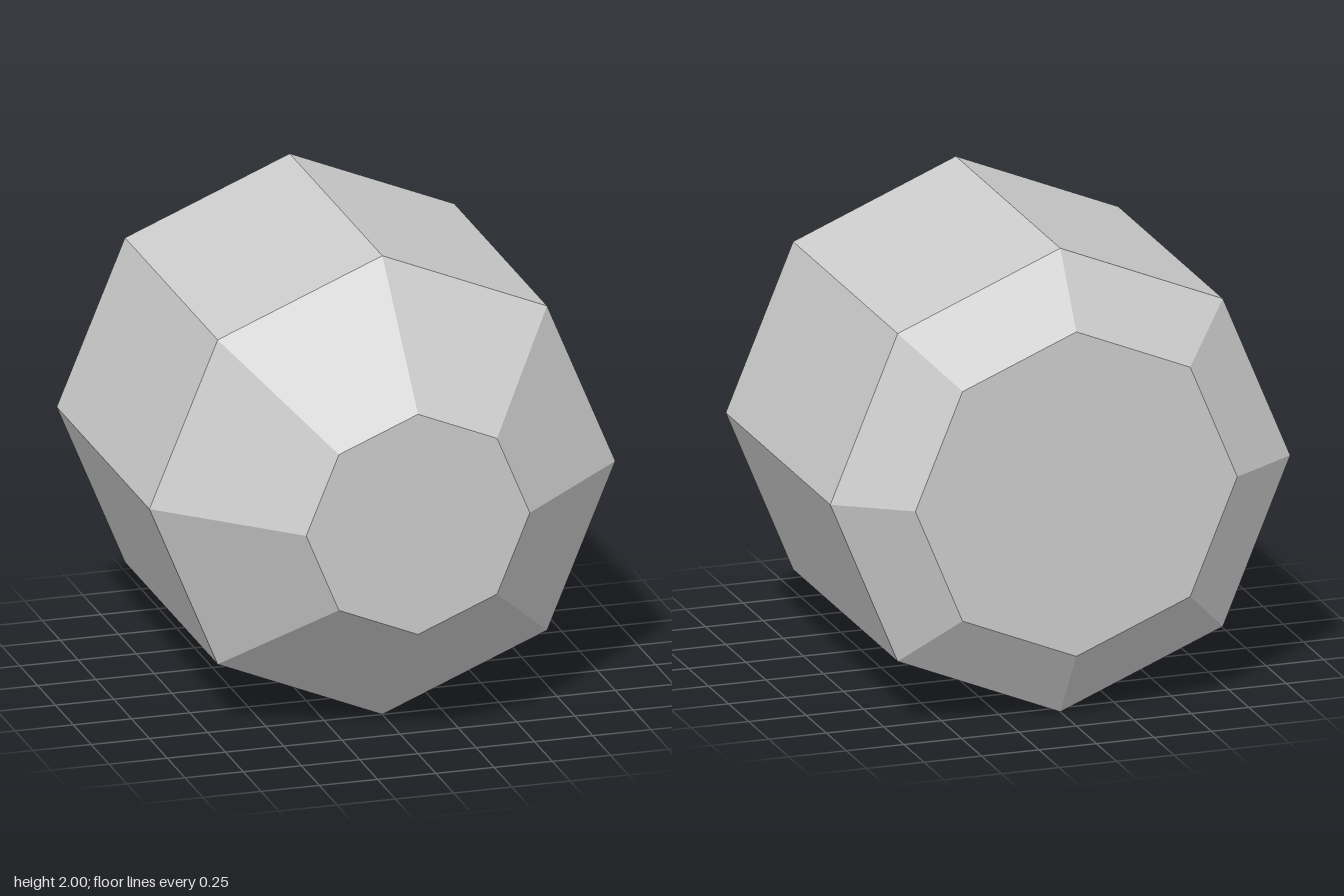
import * as THREE from 'three';

const SIDES = 8;

export function createModel() {
  const group = new THREE.Group();
  group.name = 'octagonalBarrel';

  const grey = new THREE.MeshStandardMaterial({ color: 0xcccccc, flatShading: true });
  grey.name = 'plain grey';

  // Each section is a list of [radius, z] running from back to front
  const addSection = (name, profile) => {
    const points = profile.map(([r, z]) => new THREE.Vector2(r, z));
    const geometry = new THREE.LatheGeometry(points, SIDES);
    geometry.rotateX(Math.PI / 2); // turn the axis to +z
    const mesh = new THREE.Mesh(geometry, grey);
    mesh.name = name;
    mesh.position.y = 1;
    group.add(mesh);
  };

  // Flat back cap with its short bevel
  addSection('backBevel', [[0, -1], [0.7, -1], [1, -0.8]]);
  // Straight eight-sided barrel
  addSection('barrel', [[1, -0.8], [1, 0.5]]);
  // Long front taper closed by a small flat cap
  addSection('frontTaper', [[1, 0.5], [0.48, 1], [0, 1]]);

  return group;
}
